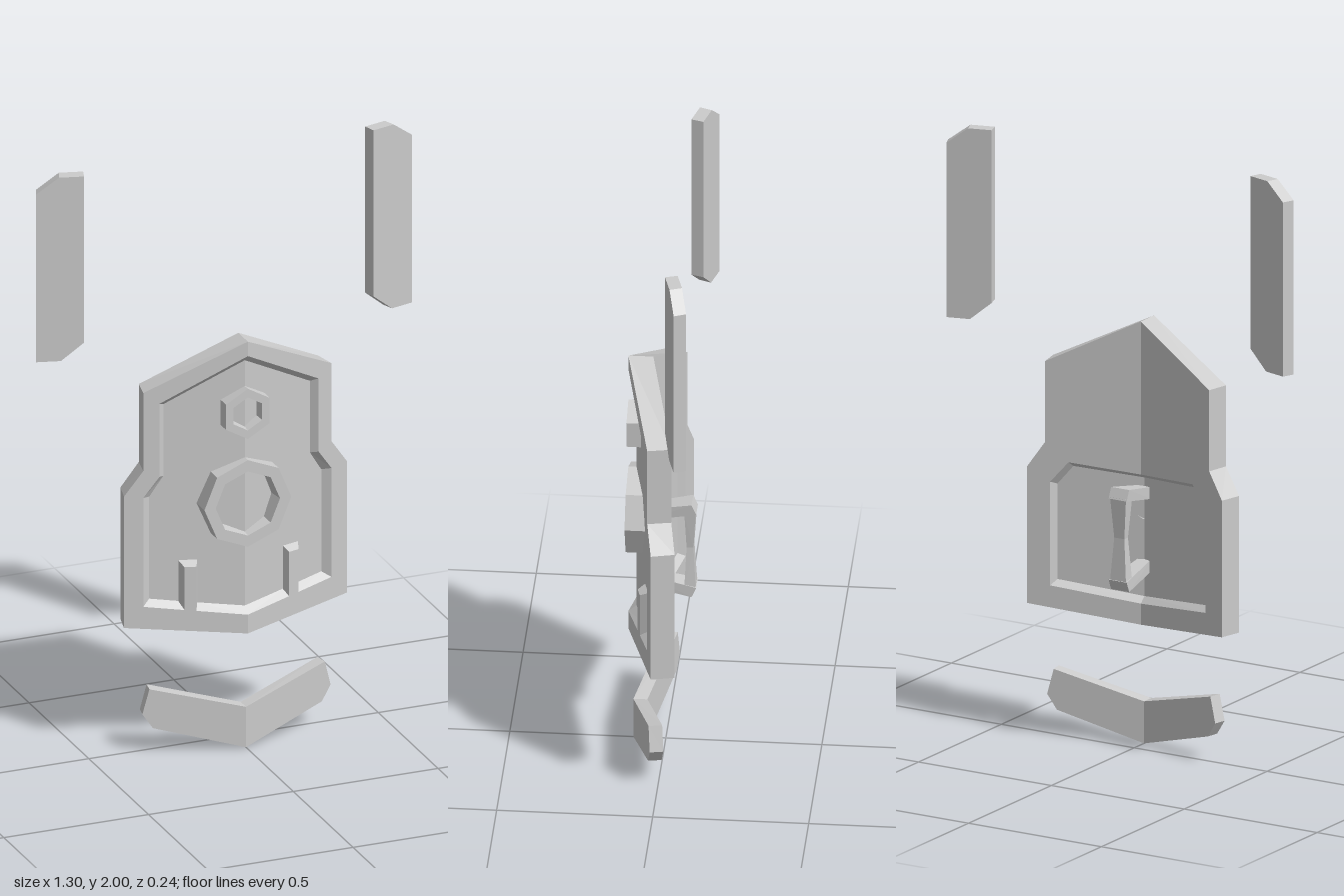
import * as THREE from 'three';
import { ConvexGeometry } from 'three/addons/geometries/ConvexGeometry.js';

const material = new THREE.MeshStandardMaterial({ color: 0xcccccc, flatShading: true });

function addMesh(parent, name, geometry) {
  const mesh = new THREE.Mesh(geometry, material);
  mesh.name = name;
  parent.add(mesh);
  return mesh;
}

// Mirrored panel swept back from the centre line; d is the depth behind its front plane.
function sweptPanel(z0, slope, build) {
  const pos = [];
  const place = ([x, y], d) => {
    const X = x * (1 - 0.6 * d);
    return [X, y, z0 - slope * X - d];
  };
  const tri = (a, b, c) => {
    pos.push(...a, ...b, ...c);
    for (const [x, y, z] of [a, c, b]) pos.push(-x, y, z);
  };
  const face = (pts, d, back = false) => {
    const geo = new THREE.ShapeGeometry(new THREE.Shape(pts.map(p => new THREE.Vector2(...p))));
    const p = geo.attributes.position, idx = geo.index.array;
    const at = i => place([p.getX(i), p.getY(i)], d);
    for (let i = 0; i < idx.length; i += 3) {
      const [a, b, c] = [at(idx[i]), at(idx[i + 1]), at(idx[i + 2])];
      back ? tri(a, c, b) : tri(a, b, c);
    }
  };
  const strip = (a, da, b, db, closed = false) => {
    const n = a.length;
    for (let i = 0; i < (closed ? n : n - 1); i++) {
      const j = (i + 1) % n;
      const [p, q, r, s] = [place(a[i], da), place(a[j], da), place(b[j], db), place(b[i], db)];
      tri(p, q, r);
      tri(p, r, s);
    }
  };
  build(face, strip);
  const geo = new THREE.BufferGeometry();
  geo.setAttribute('position', new THREE.Float32BufferAttribute(pos, 3));
  geo.computeVertexNormals();
  return geo;
}

// Plain slab of constant thickness
const slab = (outline, z0, slope, depth, closed) => sweptPanel(z0, slope, (face, strip) => {
  face(outline, 0);
  face(outline, depth, true);
  strip(outline, 0, outline, depth, closed);
});

// Polygonal ring with a tapered hole, facing forward
function boss(sides, y, outer, inner, floor) {
  const profile = [[outer, 0.04], [outer, 0.12], [inner, 0.12], [floor, 0.055]];
  return new THREE.LatheGeometry(profile.map(p => new THREE.Vector2(...p)), sides)
    .rotateX(Math.PI / 2).translate(0, y, 0);
}

// Block spanning two sections, each [yA, zA, yB, zB, halfWidth]
function block(...sections) {
  const pts = [];
  for (const [ya, za, yb, zb, w] of sections)
    for (const s of [-w, w]) pts.push(new THREE.Vector3(s, ya, za), new THREE.Vector3(s, yb, zb));
  return new ConvexGeometry(pts);
}

export function createModel() {
  const group = new THREE.Group();
  group.name = 'shieldSet';

  // Shield plate: half outlines run from top centre to bottom centre
  const edge = [[0, 1.41], [0.325, 1.25], [0.325, 0.98], [0.385, 0.895], [0.385, 0.44], [0, 0.4]];
  const rim = [[0, 1.36], [0.275, 1.21], [0.275, 0.957], [0.325, 0.887], [0.325, 0.51],
    [0.197, 0.492], [0.197, 0.64], [0.16, 0.64], [0.16, 0.487], [0, 0.465]];
  const floor = [[0, 1.336], [0.257, 1.198], [0.257, 0.95], [0.302, 0.88], [0.302, 0.527],
    [0.21, 0.514], [0.21, 0.655], [0.15, 0.655], [0.15, 0.506], [0, 0.487]];
  const backRim = [[0, 0.9], [0.245, 0.92], [0.307, 0.85], [0.307, 0.505], [0, 0.47]];
  const backFloor = [[0, 0.885], [0.237, 0.903], [0.29, 0.84], [0.29, 0.522], [0, 0.49]];
  const T = 0.08, FRONT = 0.026, BACK = 0.058;
  addMesh(group, 'shieldPlate', sweptPanel(0.12, 0.27, (face, strip) => {
    face([...edge, ...[...rim].reverse()], 0);
    strip(floor, FRONT, rim, 0);
    face(floor, FRONT);
    strip(edge, 0, edge, T);
    // Back rim in three areas around the recess
    face([...edge, ...[...backRim].reverse()], T, true);
    strip(backRim, T, backFloor, BACK);
    face(backFloor, BACK, true);
  }));

  // Raised rings on the front
  addMesh(group, 'upperBoss', boss(6, 1.16, 0.087, 0.057, 0.049));
  addMesh(group, 'centreBoss', boss(8, 0.85, 0.15, 0.111, 0.102));

  // Handle on the back: two flared arms and a waisted grip
  const handle = new THREE.Group();
  handle.name = 'handle';
  group.add(handle);
  const mid = [0.72, -0.068, 0.72, -0.09, 0.019];
  const mirrorY = ([ya, za, yb, zb, w]) => [1.43 - ya, za, 1.43 - yb, zb, w];
  const armRoot = [0.855, 0.07, 0.815, 0.07, 0.022];
  const armTip = [0.885, -0.085, 0.85, -0.1, 0.034];
  const gripEnd = [0.845, -0.062, 0.855, -0.098, 0.03];
  for (const [name, f] of [['upper', s => s], ['lower', mirrorY]]) {
    addMesh(handle, name + 'Arm', block(f(armRoot), f(armTip)));
    addMesh(handle, name + 'Grip', block(f(gripEnd), mid));
  }

  // Upper side plates with clipped corners
  const side = [[0.5, 2], [0.578, 2], [0.65, 1.945], [0.65, 1.365], [0.572, 1.365], [0.5, 1.425]];
  addMesh(group, 'sidePlates', slab(side, 0.0955, 0.27, 0.043, true));

  // Lower chevron guard
  const guard = [[0, 0.14], [0.303, 0.22], [0.325, 0.135], [0.292, 0.085], [0, 0]];
  addMesh(group, 'lowerGuard', slab(guard, 0.104, 0.245, 0.045, false));

  return group;
}
